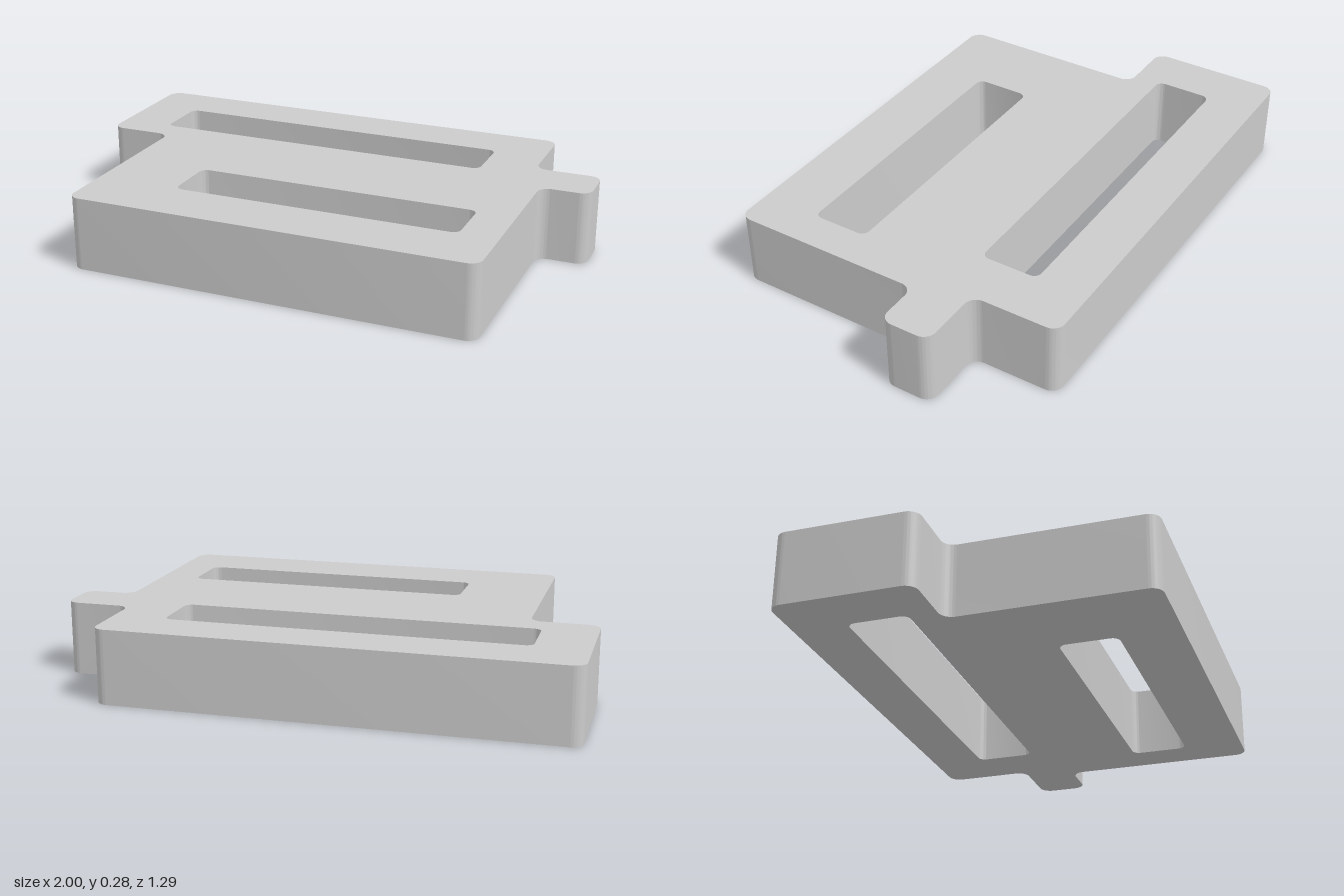
import * as THREE from 'three';
import { toCreasedNormals } from 'three/addons/utils/BufferGeometryUtils.js';

// Closed right-angled path with every corner rounded by a true arc
function roundCorners(path, corners, r) {
  const pts = corners.map(([x, z]) => new THREE.Vector2(x, z));
  pts.forEach((p, i) => {
    const a = pts.at(i - 1).clone().sub(p).normalize(); // towards previous corner
    const b = pts[(i + 1) % pts.length].clone().sub(p).normalize(); // towards next corner
    const c = p.clone().addScaledVector(a, r).addScaledVector(b, r);
    const start = Math.atan2(-b.y, -b.x);
    const end = Math.atan2(-a.y, -a.x);
    path.absarc(c.x, c.y, r, start, end, a.cross(b) > 0);
  });
  path.closePath();
  return path;
}

const rectangle = (x0, x1, z0, z1) => [[x0, z0], [x1, z0], [x1, z1], [x0, z1]];

export function createModel() {
  const height = 0.28;
  const group = new THREE.Group();
  group.name = 'slottedBlock';

  // Stepped outline with a side tab, drawn in x and z
  const outline = roundCorners(new THREE.Shape(), [
    [-1, -0.643], [0.743, -0.643], [0.743, -0.308], [1, -0.308],
    [1, -0.115], [0.812, -0.115], [0.812, 0.643], [-0.742, 0.643],
    [-0.742, -0.115], [-1, -0.115],
  ], 0.046);

  // Two through slots
  for (const slot of [rectangle(-0.8, 0.545, -0.444, -0.219), rectangle(-0.423, 0.668, 0.195, 0.415)]) {
    outline.holes.push(roundCorners(new THREE.Path(), slot, 0.03));
  }

  const geometry = new THREE.ExtrudeGeometry(outline, { depth: height, bevelEnabled: false, curveSegments: 10 });
  geometry.rotateX(Math.PI / 2).translate(0, height, 0);
  const body = new THREE.Mesh(toCreasedNormals(geometry, 0.6), new THREE.MeshStandardMaterial({ color: 0xcccccc }));
  body.name = 'body';
  group.add(body);
  return group;
}
